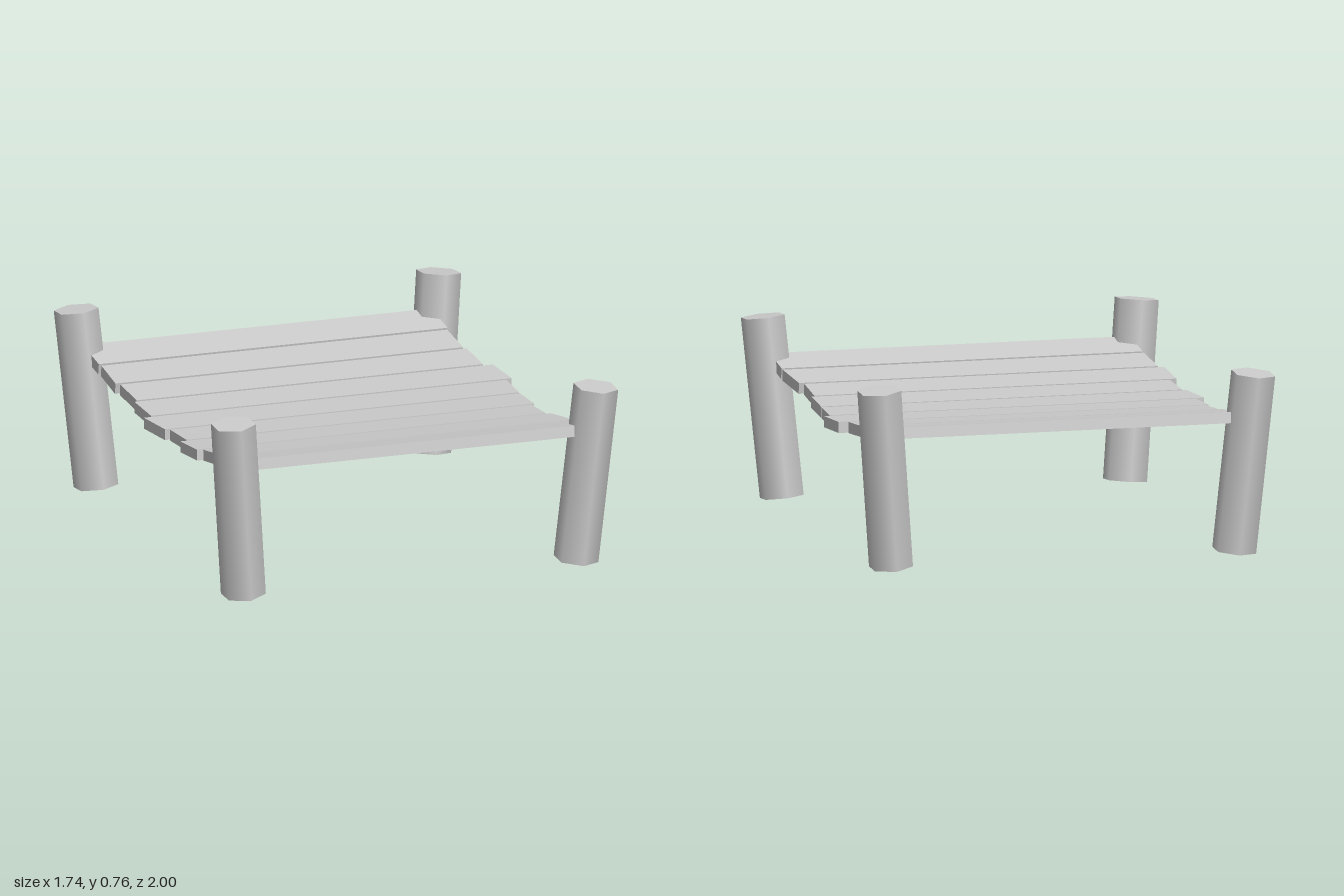
import * as THREE from 'three';

const material = new THREE.MeshStandardMaterial({ color: 0xcccccc, side: THREE.DoubleSide });

// Hexagonal post leaning outward, capped on top and open underneath
function makePost(sx, sz) {
  const foot = new THREE.Vector3(0.725 * sx, 0.013, 0.85 * sz);
  const head = new THREE.Vector3(0.79 * sx, 0.753, 0.907 * sz);
  const axis = head.clone().sub(foot);
  const height = axis.length();
  const radius = 0.093;

  const post = new THREE.Group();
  post.name = (sz > 0 ? 'front' : 'back') + (sx > 0 ? 'Left' : 'Right') + 'Post';
  const shaft = new THREE.Mesh(new THREE.CylinderGeometry(radius, radius, height, 6, 1, true), material);
  shaft.name = 'postShaft';
  const cap = new THREE.Mesh(new THREE.CircleGeometry(radius, 6, Math.PI / 2).rotateX(-Math.PI / 2), material);
  cap.name = 'postCap';
  cap.position.y = height / 2;
  post.add(shaft, cap);
  post.position.copy(foot).add(head).multiplyScalar(0.5);
  post.quaternion.setFromUnitVectors(new THREE.Vector3(0, 1, 0), axis.normalize());
  return post;
}

// Plank whose ends are cut slightly askew: x at the ends of its back and front edges
function makePlank([backMin, backMax, frontMin, frontMax]) {
  const geometry = new THREE.BoxGeometry(1, 0.046, 0.19);
  const p = geometry.attributes.position;
  for (let i = 0; i < p.count; i++) {
    const back = p.getZ(i) < 0;
    if (p.getX(i) < 0) p.setX(i, back ? backMin : frontMin);
    else p.setX(i, back ? backMax : frontMax);
  }
  geometry.computeVertexNormals();
  return new THREE.Mesh(geometry, material);
}

// Planks from back to front
const plankEnds = [
  [-0.76, 0.76, -0.76, 0.76],
  [-0.755, 0.752, -0.765, 0.75],
  [-0.75, 0.76, -0.75, 0.76],
  [-0.765, 0.797, -0.765, 0.807],
  [-0.802, 0.78, -0.782, 0.762],
  [-0.765, 0.76, -0.765, 0.75],
  [-0.797, 0.733, -0.797, 0.724],
  [-0.775, 0.742, -0.765, 0.76],
  [-0.765, 0.76, -0.765, 0.76],
];

export function createModel() {
  const model = new THREE.Group();
  model.name = 'plankBridge';

  for (const sx of [-1, 1]) for (const sz of [-1, 1]) model.add(makePost(sx, sz));

  // Deck sagging along a shallow parabola
  const deck = new THREE.Group();
  deck.name = 'deck';
  const sag = 0.103;
  plankEnds.forEach((ends, i) => {
    const z = (i - 4) * 0.2055;
    const plank = makePlank(ends);
    plank.name = 'plank' + (i + 1);
    plank.position.set(0, 0.489 + sag * z * z, z);
    plank.rotation.x = -Math.atan(2 * sag * z);
    deck.add(plank);
  });
  model.add(deck);
  return model;
}
